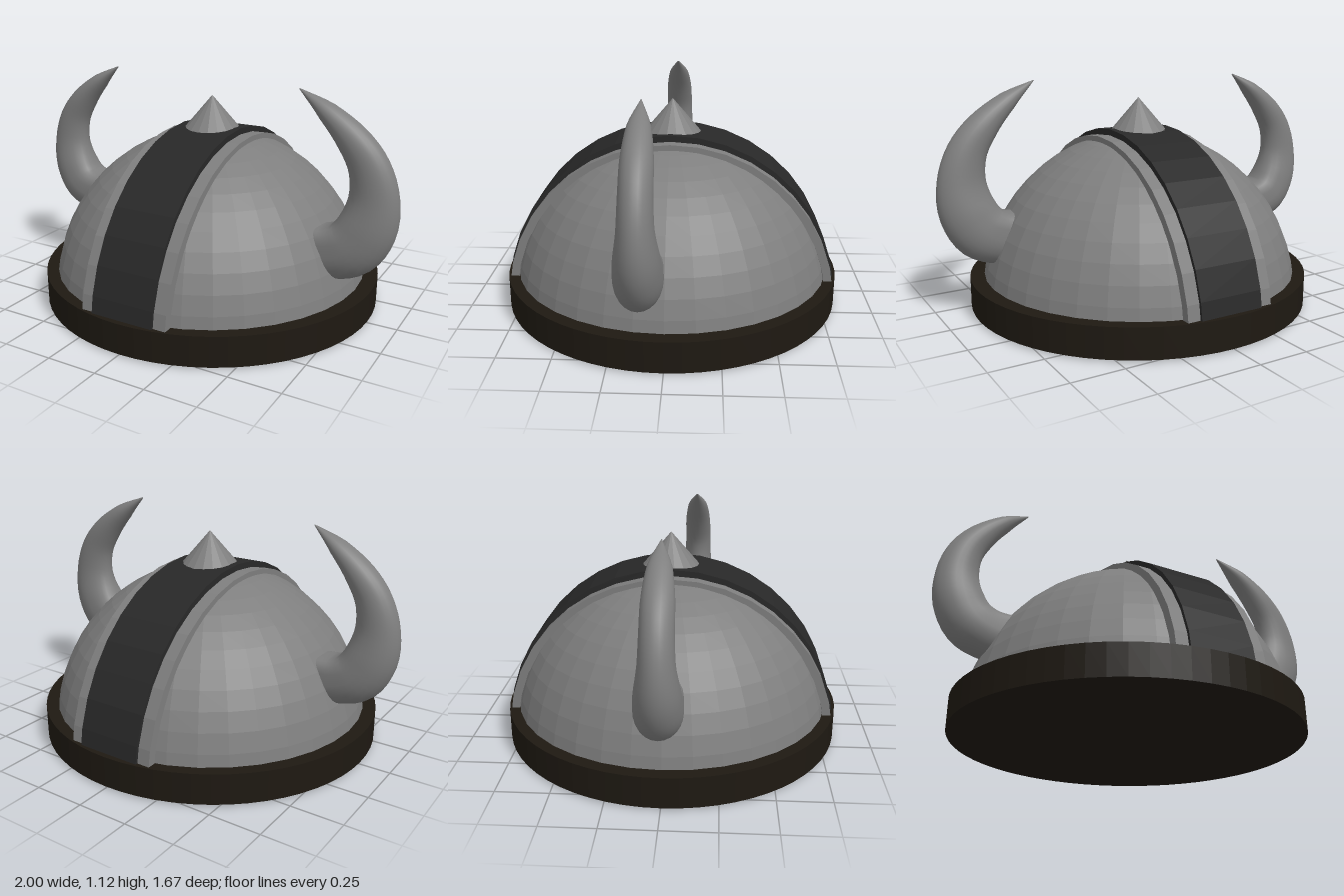
import * as THREE from 'three';

const DOME_Y = 0.03;
const STEEL = 0x7e7e7e, DARK = 0x282828, RIM = 0x1e1912;

function part(name, geometry, color, flatShading = false) {
  const mesh = new THREE.Mesh(geometry, new THREE.MeshStandardMaterial({ color, flatShading }));
  mesh.name = name;
  return mesh;
}

// Arched strap running front to back over the dome
function strapGeometry(halfWidth, rz, ry, thickness) {
  const segments = 18, outer = [], inner = [];
  for (let i = 0; i <= segments; i++) {
    const a = 0.08 + (Math.PI - 0.16) * i / segments;
    outer.push(new THREE.Vector2(Math.cos(a) * rz, Math.sin(a) * ry));
    inner.unshift(new THREE.Vector2(Math.cos(a) * (rz - thickness), Math.sin(a) * (ry - thickness)));
  }
  const shape = new THREE.Shape([...outer, ...inner]);
  const g = new THREE.ExtrudeGeometry(shape, { depth: halfWidth * 2, bevelEnabled: false });
  return g.translate(0, 0, -halfWidth).rotateY(Math.PI / 2).translate(0.003, DOME_Y, 0);
}

// Horn stations: x, y, half width in the bending plane, half depth along z
const TIP_Y = 1.115;
const HORN = [
  [0.55, 0.36, 0.128, 0.098], [0.7, 0.375, 0.13, 0.104], [0.795, 0.42, 0.138, 0.106],
  [0.86, 0.525, 0.134, 0.098], [0.88, 0.665, 0.114, 0.078], [0.848, 0.8, 0.094, 0.072],
  [0.77, 0.912, 0.075, 0.07], [0.645, 1.025, 0.045, 0.053], [0.51, TIP_Y, 0.002, 0.002],
];

// Curved tapering horn: rounded outside, squarer on the inside near the root.
// side is +1 or -1; squashX and squashY shorten it towards x = 1 and the tip.
function hornGeometry(side, squashX, squashY, z0) {
  const path = new THREE.CatmullRomCurve3(HORN.map(([x, y]) => new THREE.Vector3(
    side * (1 - squashX * (1 - x)), TIP_Y - squashY * (TIP_Y - y), z0)));
  const size = new THREE.CatmullRomCurve3(HORN.map(([, , w, d]) => new THREE.Vector3(w * squashX, d, 0)));
  const rings = 32, sides = 24, pos = [], idx = [];
  for (let i = 0; i <= rings; i++) {
    const t = i / rings, p = path.getPoint(t), r = size.getPoint(t), T = path.getTangent(t);
    const rootPower = Math.min(1, 0.45 + t * 1.1);
    for (let j = 0; j < sides; j++) {
      const a = j / sides * Math.PI * 2, c = Math.cos(a), s = Math.sin(a);
      const power = c * side > 0 ? rootPower : 1;
      const u = Math.sign(c) * Math.abs(c) ** power * r.x;
      const v = Math.sign(s) * Math.abs(s) ** power * r.y;
      pos.push(p.x - T.y * u, p.y + T.x * u, p.z + v);
      if (i < rings) {
        const k = (j + 1) % sides, A = i * sides + j, B = i * sides + k;
        idx.push(A, B, A + sides, B, B + sides, A + sides);
      }
    }
  }
  // Cap at the root
  for (let j = 1; j < sides - 1; j++) idx.push(0, j + 1, j);
  const g = new THREE.BufferGeometry();
  g.setAttribute('position', new THREE.Float32BufferAttribute(pos, 3));
  g.setIndex(idx);
  g.computeVertexNormals();
  return g;
}

export function createModel() {
  const model = new THREE.Group();
  model.name = 'hornedHelmet';

  // Thick rim with a slightly bulging closed underside
  const profile = [[0, 0], [0.65, 0.002], [0.853, 0.008], [0.853, 0.155], [0, 0.155]]
    .map(([x, y]) => new THREE.Vector2(x, y));
  const rim = part('rim', new THREE.LatheGeometry(profile, 64), RIM, true);
  rim.scale.z = 0.979;
  rim.position.x = 0.003;
  model.add(rim);

  // Faceted dome
  const dome = part('dome', new THREE.SphereGeometry(0.795, 36, 14, 0, Math.PI * 2, 0, Math.PI / 2), STEEL, true);
  dome.position.y = DOME_Y;
  dome.scale.y = 1.027;
  model.add(dome);

  // Two layered straps
  model.add(part('underStrap', strapGeometry(0.221, 0.808, 0.81, 0.04), STEEL, true));
  model.add(part('darkStrap', strapGeometry(0.159, 0.82, 0.84, 0.05), DARK, true));

  // Spike on the crown
  const spike = part('crownSpike', new THREE.ConeGeometry(0.147, 0.172, 18), STEEL, true);
  spike.position.set(0.003, 0.934, -0.004);
  model.add(spike);

  // Horns, set slightly unevenly
  model.add(part('leftHorn', hornGeometry(1, 1, 1, 0.108), STEEL));
  model.add(part('rightHorn', hornGeometry(-1, 0.89, 0.95, -0.01), STEEL));
  return model;
}
